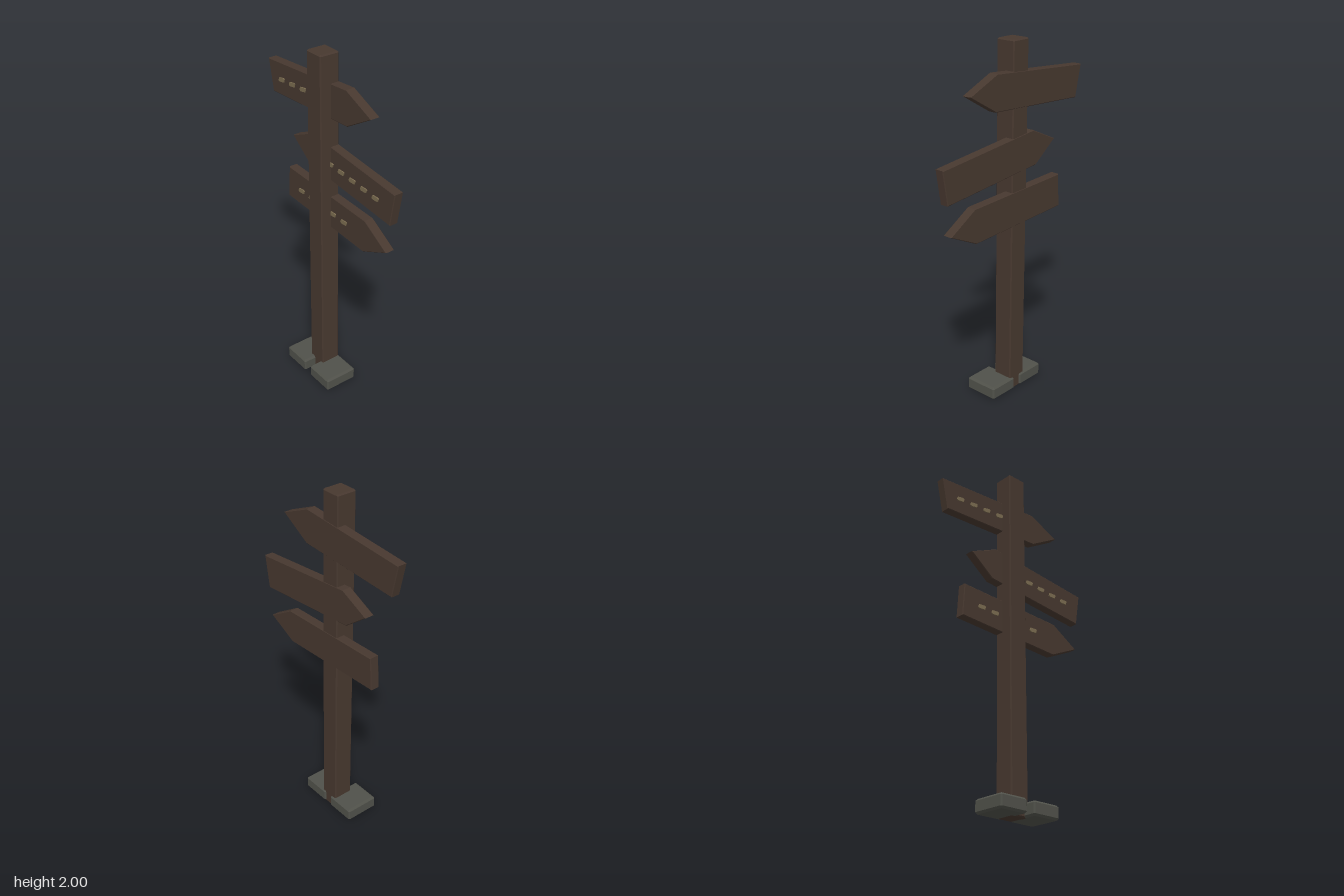
import * as THREE from 'three';

const wood = new THREE.MeshStandardMaterial({ color: 0x47382f });
wood.name = 'dark wood';
const stone = new THREE.MeshStandardMaterial({ color: 0x50514a });
stone.name = 'grey stone';
const paint = new THREE.MeshStandardMaterial({ color: 0x7b6c50 });
paint.name = 'faded paint';

// Straight prism with bevelled ends, running from z = 0 to z = depth
function prism(points, depth, bevel) {
  const shape = new THREE.Shape(points.map(([x, y]) => new THREE.Vector2(x, y)));
  const geometry = new THREE.ExtrudeGeometry(shape, {
    depth: depth - 2 * bevel, bevelEnabled: bevel > 0, bevelSegments: 1,
    bevelSize: bevel, bevelThickness: bevel, bevelOffset: -bevel,
  });
  return geometry.translate(0, 0, bevel);
}

// Rectangle outline with cut corners
function cutRect(w, d, c) {
  const x = w / 2, y = d / 2;
  return [[x - c, -y], [x, -y + c], [x, y - c], [x - c, y],
    [-x + c, y], [-x, y - c], [-x, -y + c], [-x + c, -y]];
}

function part(name, geometry, material) {
  const mesh = new THREE.Mesh(geometry, material);
  mesh.name = name;
  return mesh;
}

// Each board: pointed outline and the line its painted dashes follow
const boards = [
  { name: 'topSign',
    outline: [[-0.535, 1.80], [-0.495, 1.62], [0.15, 1.655], [0.335, 1.765], [0.14, 1.85]],
    start: [-0.41, 1.715], step: [0.096, 0.006], dashes: 4 },
  { name: 'middleSign',
    outline: [[0.53, 1.44], [-0.14, 1.507], [-0.317, 1.425], [-0.165, 1.31], [0.50, 1.25]],
    start: [0.02, 1.39], step: [0.092, -0.008], dashes: 5 },
  { name: 'bottomSign',
    outline: [[-0.36, 1.21], [-0.37, 1.02], [0.30, 0.99], [0.485, 1.08], [0.31, 1.185]],
    start: [-0.24, 1.108], step: [0.095, -0.004], dashes: 5 },
];

export function createModel() {
  const model = new THREE.Group();
  model.name = 'signpost';

  // Square post, leaning slightly to its right
  const postGeometry = prism(cutRect(0.116, 0.116, 0.006), 2, 0.007);
  postGeometry.rotateX(-Math.PI / 2);
  const p = postGeometry.attributes.position;
  for (let i = 0; i < p.count; i++) p.setX(i, p.getX(i) - 0.0175 - 0.0125 * p.getY(i));
  postGeometry.translate(0, 0, -0.033);
  postGeometry.computeVertexNormals();
  model.add(part('post', postGeometry, wood));

  // Arrow boards with skewed dashes on the front
  for (const { name, outline, start, step, dashes } of boards) {
    const sign = new THREE.Group();
    sign.name = name;
    sign.add(part('board', prism(outline, 0.054, 0.004).translate(0, 0, -0.093), wood));
    const slope = step[1] / step[0];
    const dashShape = [[-0.026, -0.008], [-0.018, -0.014], [0.02, -0.010],
      [0.026, 0.010], [0.016, 0.013], [-0.02, 0.009]];
    for (let i = 0; i < dashes; i++) {
      const dash = part('dash', prism(dashShape, 0.006, 0), paint);
      dash.position.set(start[0] + i * step[0], start[1] + i * step[1], -0.039);
      dash.rotation.z = Math.atan(slope);
      sign.add(dash);
    }
    model.add(sign);
  }

  // Bevelled foot stones on either side
  for (const [name, x] of [['rightStone', -0.124], ['leftStone', 0.098]]) {
    const geometry = prism(cutRect(0.175, 0.198, 0.007), 0.078, 0.011).rotateX(-Math.PI / 2);
    const block = part(name, geometry, stone);
    block.position.set(x, 0, 0);
    model.add(block);
  }
  return model;
}
